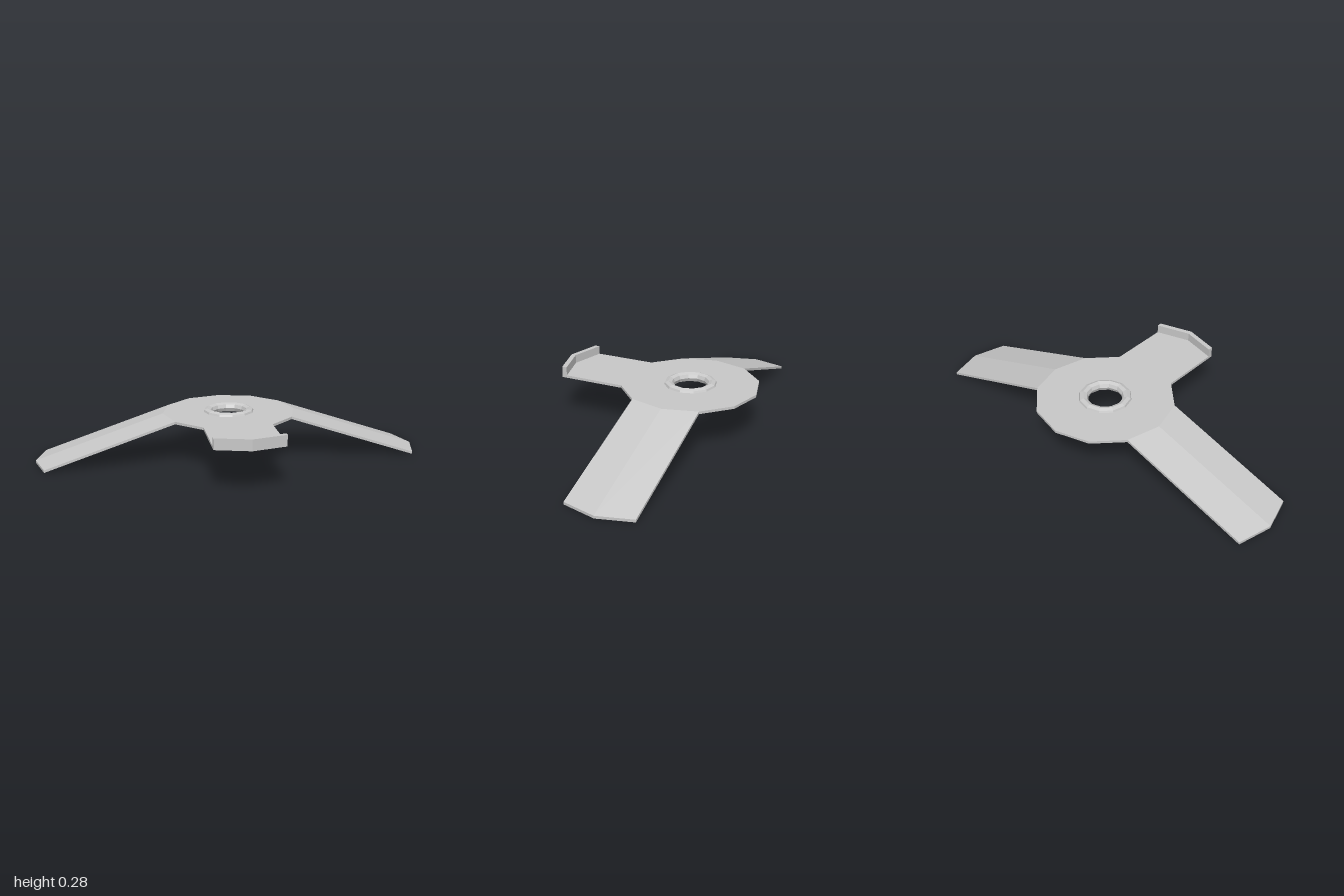
import * as THREE from 'three';

const HUB_Z = -0.168, HUB_R = 0.345; // twelve-sided hub
const TOP = 0.233, THICK = 0.013;
const STEP = Math.PI / 6;
const HALF = HUB_R / 2; // half width of tab and arms
const CORNER = HUB_R * Math.cos(STEP);

const steel = new THREE.MeshStandardMaterial({ color: 0xc8c8c8, flatShading: true });
steel.name = 'steel';

// Flat slab from an outline of [x, z] points, reaching from top down by depth
function slab(points, top, depth, hole) {
  const shape = new THREE.Shape(points.map(([x, z]) => new THREE.Vector2(x, z)));
  if (hole) shape.holes.push(new THREE.Path(hole.map(([x, z]) => new THREE.Vector2(x, z))));
  const geo = new THREE.ExtrudeGeometry(shape, { depth, bevelEnabled: false });
  return geo.rotateX(Math.PI / 2).translate(0, top, 0);
}

function ring(radius, from, to) {
  const points = [];
  for (let i = from; i <= to; i++) {
    points.push([radius * Math.cos(i * STEP), HUB_Z + radius * Math.sin(i * STEP)]);
  }
  return points;
}

function part(name, geo, parent) {
  const mesh = new THREE.Mesh(geo, steel);
  mesh.name = name;
  parent.add(mesh);
  return mesh;
}

// One planar half of an arm: a slab sheared downward away from the hub
function armHalf(side) {
  const root = HUB_R - CORNER;
  const geo = slab([
    [HUB_R, 0], [1, 0], [1 - root, side * HALF], [CORNER, side * HALF],
  ], TOP, THICK);
  const slope = (TOP - THICK) / (1 - HUB_R);
  const pos = geo.attributes.position;
  for (let i = 0; i < pos.count; i++) {
    const hinge = HUB_R - root * Math.abs(pos.getZ(i)) / HALF;
    pos.setY(i, pos.getY(i) - slope * (pos.getX(i) - hinge));
  }
  geo.computeVertexNormals();
  return geo;
}

export function createModel() {
  const model = new THREE.Group();
  model.name = 'threeArmBracket';

  // Hub and front tab in one plate with a centre hole
  const outline = [...ring(HUB_R, 4, 14), ];
  outline.push([HALF, 0.465], [0, 0.512], [-HALF, 0.465]);
  part('hubPlate', slab(outline, TOP, THICK, ring(0.11, 0, 11)), model);

  // Upturned lip along the pointed end of the tab
  part('tabLip', slab([
    [HALF, 0.44], [HALF, 0.465], [0, 0.512], [-HALF, 0.465], [-HALF, 0.44], [0, 0.487],
  ], 0.276, 0.276 - TOP), model);

  // Rounded collar around the hole
  const collar = new THREE.TorusGeometry(0.11, 0.025, 8, 12).rotateX(Math.PI / 2);
  part('collar', collar, model).position.set(0, 0.225, HUB_Z);

  // Two sloping arms with a crease down the middle
  for (const [name, turn] of [['leftArm', 0], ['rightArm', Math.PI]]) {
    const arm = new THREE.Group();
    arm.name = name;
    part('frontHalf', armHalf(1), arm);
    part('backHalf', armHalf(-1), arm);
    arm.position.z = HUB_Z;
    arm.rotation.y = turn;
    model.add(arm);
  }
  return model;
}
